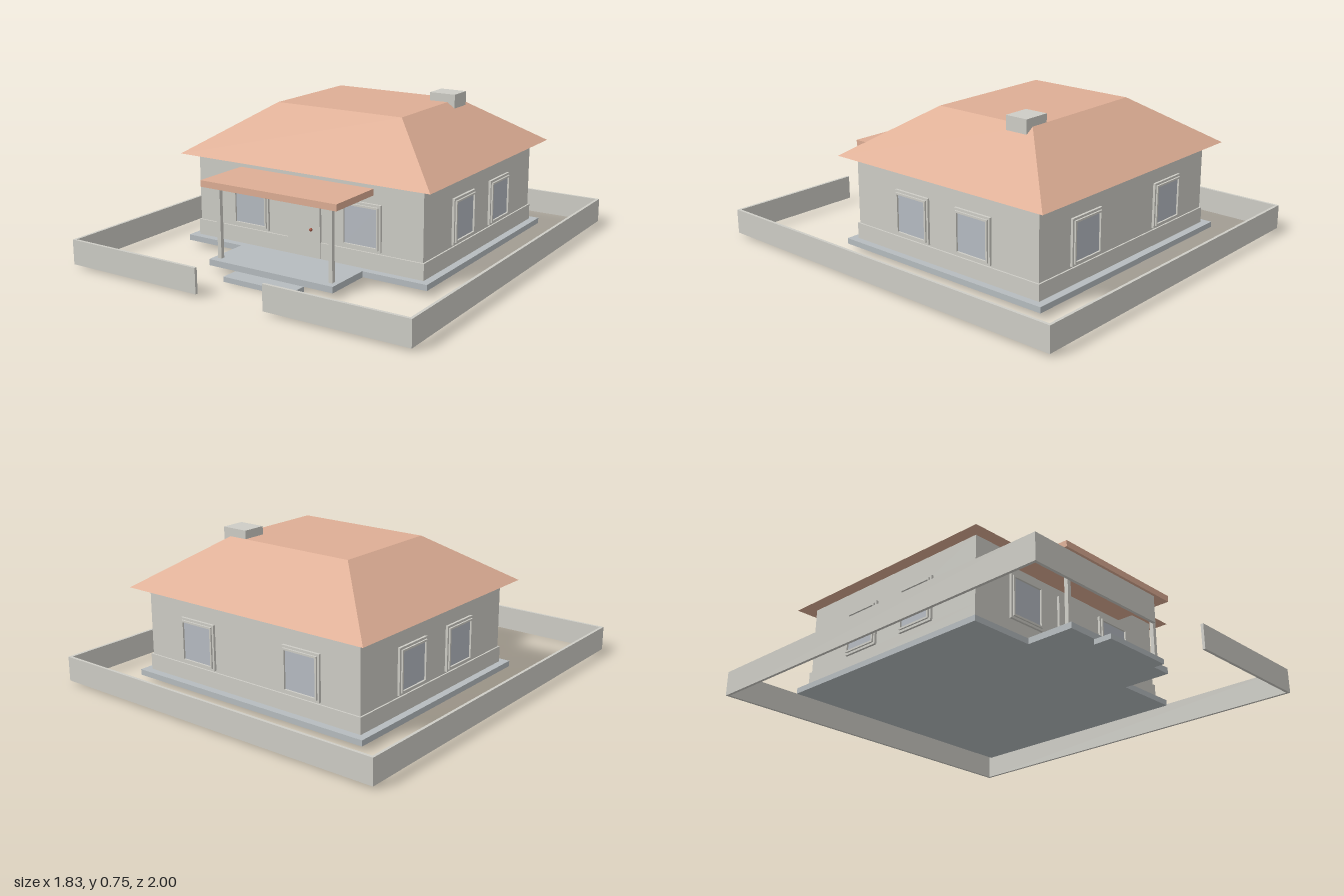
import * as THREE from 'three';

const mat = (name, color) => {
  const m = new THREE.MeshStandardMaterial({ color });
  m.name = name;
  return m;
};

export function createModel() {
  const plaster = mat('plaster', 0xcecdc6);
  const tile = mat('roofTile', 0xdeae95);
  const glass = mat('windowGlass', 0xb6bbc2);
  const paving = mat('paving', 0xb6bcbf);
  const copper = mat('doorKnob', 0xa85a48);

  const model = new THREE.Group();
  model.name = 'house';

  // box given by its minimum and maximum corners
  const box = (name, material, [x0, y0, z0], [x1, y1, z1], parent = model) => {
    const geo = new THREE.BoxGeometry(x1 - x0, y1 - y0, z1 - z0);
    const mesh = new THREE.Mesh(geo, material);
    mesh.position.set((x0 + x1) / 2, (y0 + y1) / 2, (z0 + z1) / 2);
    mesh.name = name;
    parent.add(mesh);
    return mesh;
  };

  // paving around the house, porch floor and step
  box('pavement', paving, [-0.675, 0.025, -0.757], [0.675, 0.053, 0.45]);
  box('porchFloor', paving, [-0.345, 0.025, 0.45], [0.345, 0.055, 0.695]);
  box('porchStep', paving, [-0.19, 0, 0.69], [0.19, 0.025, 0.783]);

  // walls and plinth
  box('walls', plaster, [-0.63, 0.05, -0.71], [0.63, 0.47, 0.405]);
  box('plinth', plaster, [-0.638, 0.05, -0.718], [0.638, 0.132, 0.413]);

  // hipped roof with a flat top: a box whose upper corners are drawn in
  const roofGeo = new THREE.BoxGeometry(1.39, 0.236, 1.25);
  const p = roofGeo.attributes.position;
  for (let i = 0; i < p.count; i++) {
    if (p.getY(i) > 0) {
      p.setX(i, Math.sign(p.getX(i)) * 0.352);
      p.setZ(i, Math.sign(p.getZ(i)) * 0.283 - 0.002);
    }
  }
  roofGeo.computeVertexNormals();
  const roof = new THREE.Mesh(roofGeo, tile);
  roof.position.set(0, 0.588, -0.155);
  roof.name = 'roof';
  model.add(roof);
  box('chimney', plaster, [0.255, 0.66, -0.44], [0.393, 0.747, -0.32]);

  // porch roof on two posts
  box('porchRoof', tile, [-0.374, 0.402, 0.4], [0.372, 0.433, 0.705]);
  for (const s of [-1, 1]) {
    box('porchPost', plaster, [s * 0.31 - 0.01, 0.05, 0.64], [s * 0.31 + 0.01, 0.402, 0.66]);
  }

  // front door
  box('door', plaster, [-0.093, 0.055, 0.4], [0.09, 0.363, 0.418]);
  const knob = new THREE.Mesh(new THREE.SphereGeometry(0.008, 12, 8), copper);
  knob.position.set(0.045, 0.193, 0.426);
  knob.name = 'doorKnob';
  model.add(knob);

  // window: outer trim, raised sash and pane, facing outward by the turn
  const frame = (name, w, h, rim, depth, parent) => {
    const shape = new THREE.Shape([[-w, -h], [w, -h], [w, h], [-w, h]].map(c => new THREE.Vector2(...c)));
    const [a, b] = [w - rim, h - rim];
    shape.holes.push(new THREE.Path([[-a, -b], [-a, b], [a, b], [a, -b]].map(c => new THREE.Vector2(...c))));
    const mesh = new THREE.Mesh(new THREE.ExtrudeGeometry(shape, { depth, bevelEnabled: false }), plaster);
    mesh.name = name;
    parent.add(mesh);
  };
  const addWindow = (x, z, turn) => {
    const g = new THREE.Group();
    g.name = 'window';
    frame('windowTrim', 0.105, 0.111, 0.017, 0.012, g);
    frame('windowSash', 0.095, 0.1, 0.009, 0.02, g);
    box('windowPane', glass, [-0.087, -0.092, 0.003], [0.087, 0.092, 0.011], g);
    g.position.set(x, 0.252, z);
    g.rotation.y = turn;
    model.add(g);
  };
  for (const s of [-1, 1]) {
    addWindow(s * 0.312, 0.405, 0);
    addWindow(s * 0.312, -0.71, Math.PI);
    for (const z of [0.035, -0.34]) addWindow(s * 0.63, z, s * Math.PI / 2);
  }

  // boundary wall with a gate opening at the front
  const [X, T, Y0, Y1] = [0.913, 0.014, 0.012, 0.134];
  for (const s of [-1, 1]) {
    box('boundarySide', plaster, [s * (X - T / 2) - T / 2, Y0, -1], [s * (X - T / 2) + T / 2, Y1, 1]);
  }
  box('boundaryBack', plaster, [-X + T, Y0, -1], [X - T, Y1, -1 + T]);
  box('boundaryFront', plaster, [-X + T, Y0, 1 - T], [-0.17, Y1, 1]);
  box('boundaryFront', plaster, [0.195, Y0, 1 - T], [X - T, Y1, 1]);

  return model;
}
